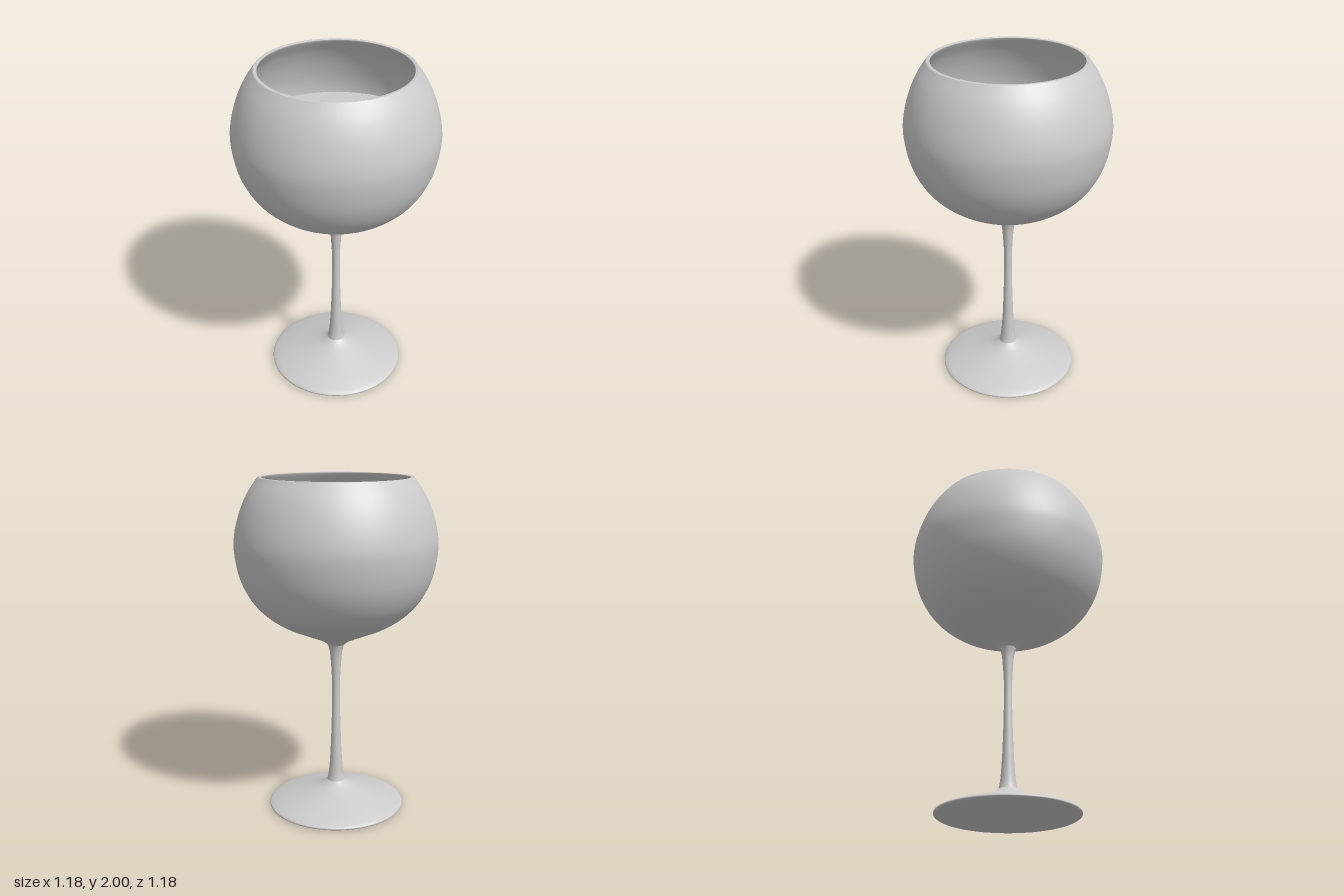
import * as THREE from 'three';

const SEGMENTS = 96;
const grey = new THREE.MeshStandardMaterial({ color: 0xcccccc });

// Smooth curve through [radius, height] points
function smooth(points, count) {
  return new THREE.SplineCurve(points.map(([r, y]) => new THREE.Vector2(r, y))).getPoints(count);
}

function lathe(name, profile) {
  const mesh = new THREE.Mesh(new THREE.LatheGeometry(profile, SEGMENTS), grey);
  mesh.name = name;
  return mesh;
}

export function createModel() {
  const group = new THREE.Group();
  group.name = 'wineGlass';

  // Foot: flat underside, thin rolled edge, shallow cone up to the stem
  const underside = [new THREE.Vector2(0, 0), new THREE.Vector2(0.4, 0)];
  group.add(lathe('footUnderside', underside));
  group.add(lathe('foot', smooth([
    [0.4, 0], [0.41, 0.007], [0.405, 0.018], [0.37, 0.034], [0.28, 0.064],
    [0.19, 0.092], [0.11, 0.12], [0.075, 0.138], [0.054, 0.153],
  ], 40)));

  // Stem: slender, flared at both ends
  group.add(lathe('stem', smooth([
    [0.054, 0.153], [0.046, 0.19], [0.038, 0.27], [0.031, 0.4], [0.025, 0.6],
    [0.024, 0.78], [0.031, 0.91], [0.037, 0.97], [0.048, 1.015],
  ], 40)));

  // Bowl: outer wall, rounded rim and inner wall
  group.add(lathe('bowl', smooth([
    [0.048, 1.015], [0.09, 1.045], [0.2, 1.092], [0.32, 1.146], [0.42, 1.215],
    [0.5, 1.305], [0.56, 1.43], [0.588, 1.58], [0.582, 1.69], [0.55, 1.81],
    [0.505, 1.91], [0.452, 1.989], [0.443, 1.998], [0.433, 1.998], [0.427, 1.988],
    [0.482, 1.905], [0.528, 1.805], [0.56, 1.69], [0.566, 1.58], [0.54, 1.44],
    [0.48, 1.32], [0.4, 1.235], [0.31, 1.172], [0.19, 1.118], [0.08, 1.075], [0, 1.06],
  ], 160)));

  // Drink: body following the inner wall, closed by a flat surface
  group.add(lathe('drink', smooth([
    [0, 1.061], [0.08, 1.076], [0.19, 1.119], [0.31, 1.173], [0.4, 1.236],
    [0.48, 1.321], [0.54, 1.441], [0.566, 1.58], [0.566, 1.61],
  ], 48)));
  const surface = new THREE.Mesh(new THREE.CircleGeometry(0.566, SEGMENTS), grey);
  surface.name = 'drinkSurface';
  surface.rotation.x = -Math.PI / 2;
  surface.position.y = 1.61;
  group.add(surface);

  return group;
}
